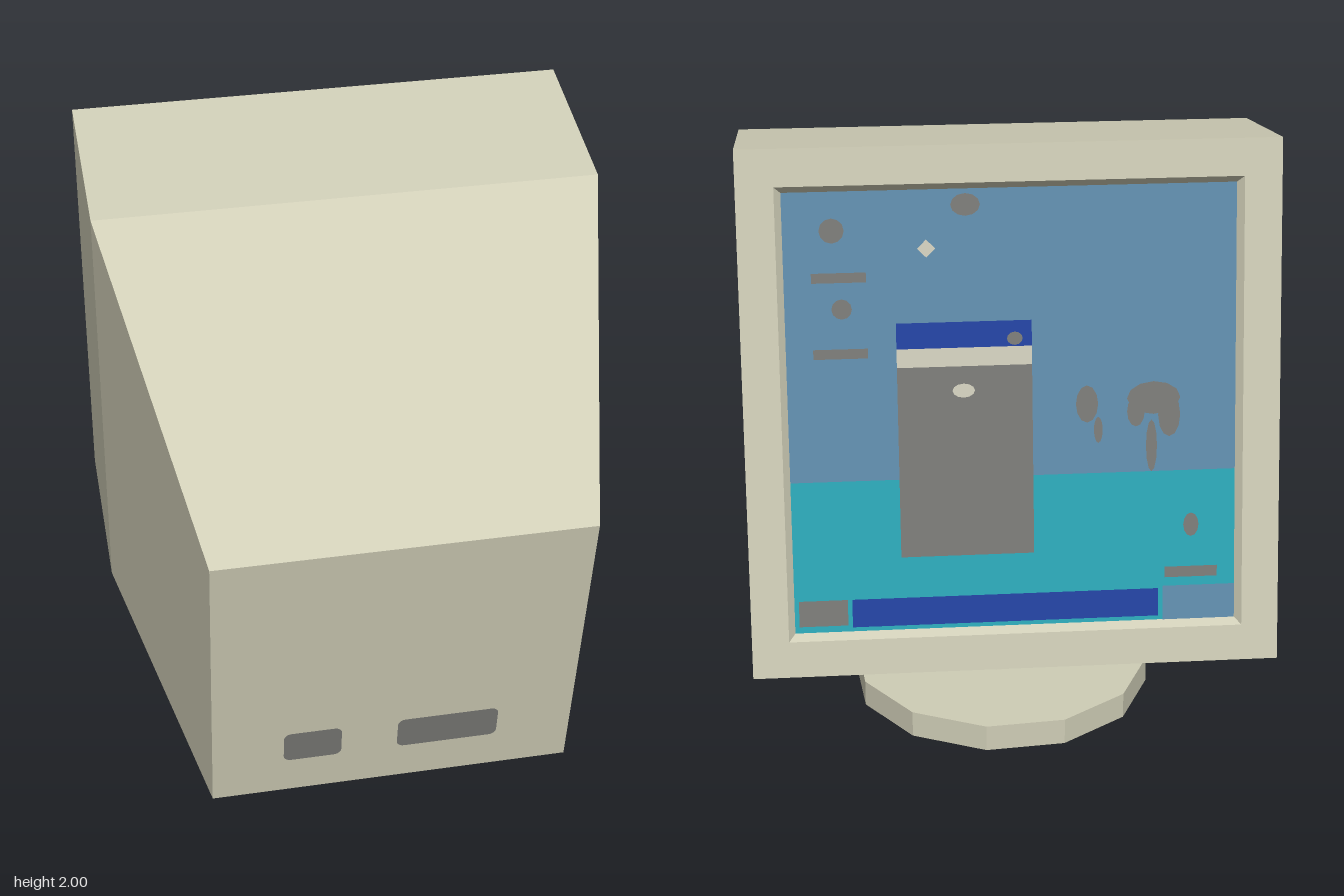
import * as THREE from 'three';

const mat = (name, color) => {
  const m = new THREE.MeshStandardMaterial({ color });
  m.name = name;
  return m;
};

export function createModel() {
  const beige = mat('beige casing', 0xcfcdb6);
  beige.flatShading = true;
  const cream = mat('cream highlight', 0xcfcdbb);
  const grey = mat('grey', 0x797976);
  const blue = mat('sky blue', 0x5f8cab);
  const teal = mat('teal', 0x2ca6b6);
  const navy = mat('navy', 0x2342a0);

  const add = (parent, name, geometry, material, x = 0, y = 0, z = 0) => {
    const mesh = new THREE.Mesh(geometry, material);
    mesh.name = name;
    mesh.position.set(x, y, z);
    parent.add(mesh);
    return mesh;
  };

  const model = new THREE.Group();
  model.name = 'monitor';

  // Stand: faceted foot and tapered neck
  const stand = new THREE.Group();
  stand.name = 'stand';
  stand.position.z = -0.285;
  model.add(stand);
  const turn = Math.PI / 9;
  add(stand, 'foot', new THREE.CylinderGeometry(0.5, 0.5, 0.088, 12, 1, false, turn), beige, 0, 0.044, 0);
  add(stand, 'neck', new THREE.CylinderGeometry(0.075, 0.13, 0.27, 12, 1, false, turn), beige, 0, 0.22, 0);

  // Tilted head: local y runs up the screen, local z runs to the rear
  const head = new THREE.Group();
  head.name = 'head';
  head.position.set(0, 0.375, -0.91);
  head.rotation.x = 0.179;
  model.add(head);

  // Casing: rectangular rings from the screen recess round to the rear
  const rings = [
    [0.69, 0.135, 1.515, 0.025], // recess floor
    [0.71, 0.115, 1.535, 0], // bezel opening
    [0.825, 0, 1.65, 0], // outer front edge
    [0.825, 0, 1.65, 0.587], // end of the box
    [0.605, 0, 1.133, 1.646], // rear panel
  ].map(([w, lo, hi, z]) => [[-w, lo, z], [w, lo, z], [w, hi, z], [-w, hi, z]]);
  const points = [];
  const quad = (a, b, c, d) => points.push(...a, ...b, ...c, ...a, ...c, ...d);
  for (let i = 0; i < rings.length - 1; i++) {
    for (let k = 0; k < 4; k++) {
      const n = (k + 1) % 4;
      quad(rings[i][k], rings[i][n], rings[i + 1][n], rings[i + 1][k]);
    }
  }
  quad(...rings[rings.length - 1]);
  const casing = new THREE.BufferGeometry();
  casing.setAttribute('position', new THREE.Float32BufferAttribute(points, 3));
  casing.computeVertexNormals();
  add(head, 'casing', casing, beige);

  // Rounded connector plates on the rear panel
  const roundedPlate = (w, h, r) => {
    const s = new THREE.Shape();
    s.absarc(w / 2 - r, h / 2 - r, r, 0, Math.PI / 2);
    s.absarc(r - w / 2, h / 2 - r, r, Math.PI / 2, Math.PI);
    s.absarc(r - w / 2, r - h / 2, r, Math.PI, Math.PI * 1.5);
    s.absarc(w / 2 - r, r - h / 2, r, Math.PI * 1.5, Math.PI * 2);
    return new THREE.ShapeGeometry(s, 4);
  };
  for (const [x0, x1] of [[-0.368, -0.175], [0.013, 0.352]]) {
    add(head, 'rearPort', roundedPlate(x1 - x0, 0.137, 0.025), grey, (x0 + x1) / 2, 0.23, 1.65);
  }

  // Screen: s runs from the viewer's left, t from the top, both 0 to 1
  const size = 1.38;
  const screen = new THREE.Group();
  screen.name = 'screen';
  screen.position.set(0, 0.825, 0.025);
  screen.rotation.y = Math.PI;
  head.add(screen);
  const px = (s) => (s - 0.5) * size;
  const py = (t) => (0.5 - t) * size;
  const rect = (name, material, s0, s1, t0, t1, layer) =>
    add(screen, name, new THREE.PlaneGeometry((s1 - s0) * size, (t1 - t0) * size), material,
      px((s0 + s1) / 2), py((t0 + t1) / 2), layer * 0.003);
  const blob = (name, material, s, t, w, h, layer = 1, sides = 12) =>
    add(screen, name, new THREE.CircleGeometry(size / 2, sides), material, px(s), py(t), layer * 0.003)
      .scale.set(w, h, 1);

  // Wallpaper
  rect('wallpaperSky', blue, 0, 1, 0, 0.65, 0);
  rect('wallpaperSea', teal, 0, 1, 0.65, 1, 0);

  // Bar along the bottom
  rect('taskBar', navy, 0.13, 0.825, 0.925, 0.99, 1);
  rect('startButton', grey, 0.01, 0.12, 0.925, 0.985, 1);
  rect('tray', blue, 0.835, 1, 0.92, 1, 1);
  rect('trayLabel', grey, 0.84, 0.96, 0.875, 0.9, 1);

  // Open window
  rect('windowTitle', navy, 0.243, 0.543, 0.295, 0.355, 1);
  rect('windowMenu', cream, 0.243, 0.543, 0.353, 0.395, 1.2);
  rect('windowBody', grey, 0.243, 0.543, 0.39, 0.83, 1);
  blob('windowButton', grey, 0.505, 0.335, 0.035, 0.03, 2);
  blob('windowMark', cream, 0.39, 0.45, 0.05, 0.032, 2);

  // Desktop icons and labels
  for (const [s, t, w, h] of [[0.107, 0.086, 0.055, 0.055], [0.125, 0.26, 0.045, 0.045], [0.4, 0.035, 0.065, 0.05]]) {
    blob('icon', grey, s, t, w, h);
  }
  for (const t of [0.19, 0.36]) rect('iconLabel', grey, 0.06, 0.18, t - 0.011, t + 0.011, 1);
  blob('pointer', cream, 0.313, 0.13, 0.04, 0.04, 1, 4);

  // Wallpaper silhouettes
  for (const [s, t, w, h] of [
    [0.665, 0.49, 0.05, 0.085], [0.69, 0.55, 0.02, 0.06],
    [0.815, 0.48, 0.12, 0.075], [0.775, 0.51, 0.04, 0.07], [0.85, 0.52, 0.05, 0.1],
    [0.81, 0.59, 0.025, 0.12], [0.9, 0.777, 0.035, 0.055],
  ]) {
    blob('silhouette', grey, s, t, w, h);
  }

  return model;
}
